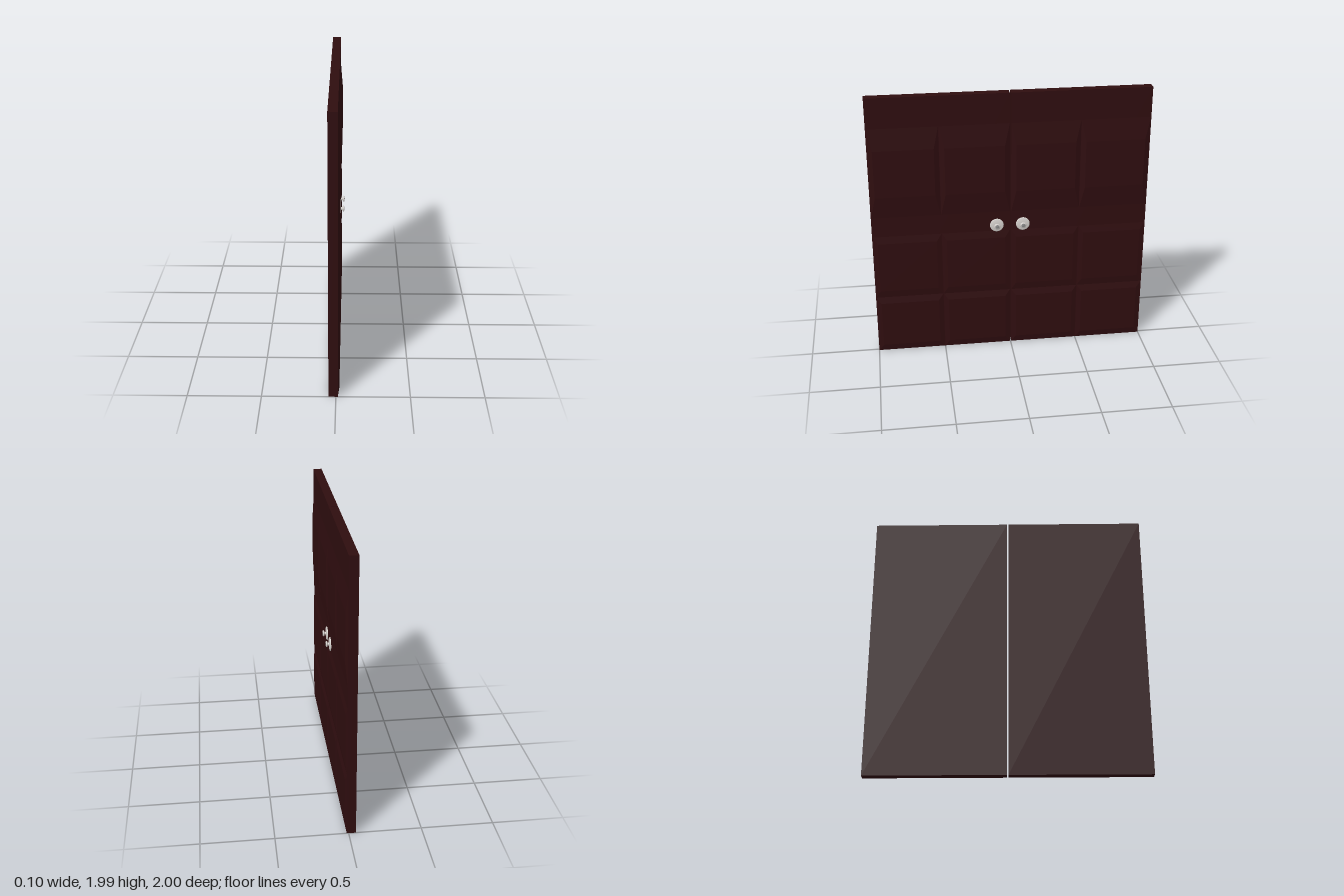
import * as THREE from 'three';

const wood = new THREE.MeshStandardMaterial({ color: 0x2f0d0f });
wood.name = 'dark mahogany';
const silver = new THREE.MeshStandardMaterial({ color: 0xd6d2ce });
silver.name = 'pale silver';
const steel = new THREE.MeshStandardMaterial({ color: 0x8c8c8c });
steel.name = 'grey steel';

const BACK = -0.05, FACE = 0.013, HEIGHT = 1.99, WIDTH = 0.995;

// Box whose +x face is inset, giving a bevelled raised panel
function panelGeometry(rise, height, width, bevelY, bevelZ) {
  const g = new THREE.BoxGeometry(rise, height, width);
  const p = g.attributes.position;
  for (let i = 0; i < p.count; i++) {
    if (p.getX(i) < 0) continue;
    p.setY(i, p.getY(i) - Math.sign(p.getY(i)) * bevelY);
    p.setZ(i, p.getZ(i) - Math.sign(p.getZ(i)) * bevelZ);
  }
  g.computeVertexNormals();
  return g;
}

// Lathe turned so that its axis points along +x
function turned(points, name, material) {
  const g = new THREE.LatheGeometry(points.map(([r, h]) => new THREE.Vector2(r, h)), 24);
  g.rotateZ(-Math.PI / 2);
  const mesh = new THREE.Mesh(g, material);
  mesh.name = name;
  return mesh;
}

function createKnob(z) {
  const knob = new THREE.Group();
  knob.name = 'doorKnob';
  knob.add(
    turned([[0.05, 0], [0.05, 0.005], [0.045, 0.009], [0.022, 0.012], [0, 0.012]], 'rosette', silver),
    turned([[0.012, 0.01], [0.009, 0.018], [0.011, 0.021], [0.02, 0.025],
      [0.023, 0.03], [0.02, 0.034], [0.013, 0.036]], 'knobBody', silver),
    turned([[0.016, 0.0345], [0.012, 0.037], [0, 0.038]], 'knobCap', steel),
  );
  knob.position.set(FACE - 0.001, 0.995, z);
  return knob;
}

// Panel rows: bottom, top, rise, vertical bevel
const rows = [
  [0.0, 0.455, 0.01, 0.05],
  [0.455, 0.95, 0.008, 0.055],
  [1.1, 1.77, 0.014, 0.16],
];

function createDoor(side) {
  const door = new THREE.Group();
  door.name = side > 0 ? 'leftDoor' : 'rightDoor';
  const slab = new THREE.Mesh(new THREE.BoxGeometry(FACE - BACK, HEIGHT, WIDTH), wood);
  slab.name = 'doorSlab';
  slab.position.set((FACE + BACK) / 2, HEIGHT / 2, side * (1 - WIDTH / 2));
  door.add(slab);

  // Two columns of raised panels
  for (const [y0, y1, rise, bevel] of rows) {
    for (const z of [0.2525, 0.75]) {
      const panel = new THREE.Mesh(panelGeometry(rise, y1 - y0, 0.495, bevel, 0.035), wood);
      panel.name = 'raisedPanel';
      panel.position.set(FACE + rise / 2, (y0 + y1) / 2, side * z);
      door.add(panel);
    }
  }
  door.add(createKnob(side > 0 ? 0.1 : -0.09));
  return door;
}

export function createModel() {
  const model = new THREE.Group();
  model.name = 'doubleDoor';
  model.add(createDoor(1), createDoor(-1));
  return model;
}
